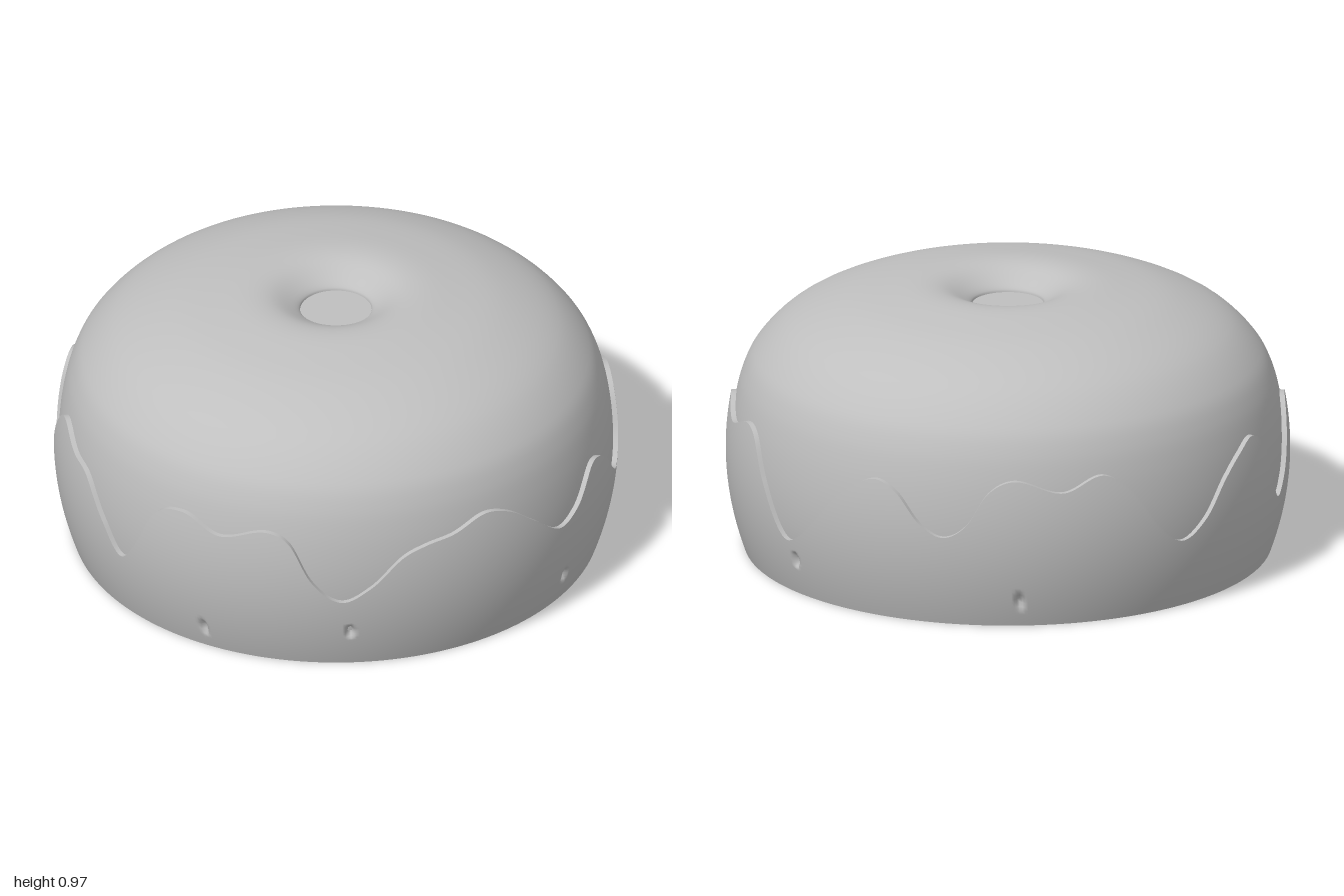
import * as THREE from 'three';

// Drip line round the body: [angle in degrees from +z towards +x, height]
const DRIP = [
  [-2, .525], [4, .45], [12, .355], [18, .385], [26, .495], [32, .46], [38, .35], [44, .30],
  [49, .37], [53, .5], [58, .555], [70, .505], [81, .555], [85, .52], [90, .39], [97, .215],
  [102, .24], [107, .32], [112, .42], [117, .49], [122, .525], [127, .485], [132, .385], [137, .34],
  [142, .39], [146, .5], [151, .55], [162, .505], [171, .555], [177, .485], [183, .34], [189, .265],
  [195, .32], [201, .44], [207, .515], [213, .55], [217, .49], [221, .33], [225, .26], [229, .32],
  [234, .47], [239, .555], [250, .505], [256, .48], [263, .36], [269, .26], [274, .36], [278, .5],
  [285, .555], [294, .505], [305, .55], [309.5, .51], [314, .37], [320, .288], [326, .34], [333, .455],
  [338, .49], [344, .51], [352, .555],
];
// Small oval dents low on the wall: [angle, height]
const DENTS = [[15.6, .115], [68, .075], [100, .14], [153, .1], [239, .1], [290, .09], [322, .155]];

const knots = [
  ...DRIP.slice(-3).map(([a, h]) => [a - 360, h]), ...DRIP,
  ...DRIP.slice(0, 4).map(([a, h]) => [a + 360, h]),
];
const dripCurve = new THREE.CubicInterpolant(
  knots.map(k => k[0]), knots.map(k => k[1]), 1, new Float32Array(1));
const dripHeight = deg => dripCurve.evaluate(deg)[0];

const wallRadius = y => 1 - 0.5 * (y - 0.36) ** 2;
const coatRadius = y => wallRadius(y) - 0.018;

function dentDepth(deg, y) {
  let depth = 0;
  for (const [a, h] of DENTS) {
    const dx = (deg - a) * Math.PI / 180 * 0.965 / 0.017;
    const d = dx * dx + ((y - h) / 0.033) ** 2;
    if (d < 1) depth = 0.025 * (1 - d);
  }
  return depth;
}

// Closed band around y; point(deg, t) returns [radius, height], t running 0..1
function band(segments, rows, point) {
  const pos = [], index = [];
  for (let j = 0; j <= rows; j++) {
    for (let i = 0; i < segments; i++) {
      const deg = i / segments * 360, a = deg * Math.PI / 180;
      const [r, y] = point(deg, j / rows);
      pos.push(r * Math.sin(a), y, r * Math.cos(a));
      if (j < rows) {
        const n = (i + 1) % segments, p = j * segments + i, q = j * segments + n;
        index.push(p, q, p + segments, q, q + segments, p + segments);
      }
    }
  }
  const g = new THREE.BufferGeometry();
  g.setAttribute('position', new THREE.Float32BufferAttribute(pos, 3));
  g.setIndex(index);
  g.computeVertexNormals();
  return g;
}

function smoothLathe(points, samples) {
  const curve = new THREE.CatmullRomCurve3(
    points.map(([r, y]) => new THREE.Vector3(r, y, 0)), false, 'centripetal');
  const profile = curve.getPoints(samples).map(p => new THREE.Vector2(Math.max(p.x, 0), p.y));
  return new THREE.LatheGeometry(profile, 160);
}

export function createModel() {
  const group = new THREE.Group();
  const grey = new THREE.MeshStandardMaterial({ color: 0xbfbfbf });
  grey.name = 'plain grey';
  const add = (name, geometry) => {
    const mesh = new THREE.Mesh(geometry, grey);
    mesh.name = name;
    group.add(mesh);
    return mesh;
  };

  // Outer wall, ending at the wavy drip line
  add('lowerWall', band(600, 36, (deg, t) => {
    const y = dripHeight(deg) * t;
    return [wallRadius(y) - dentDepth(deg, y), y];
  }));

  // Narrow step from the wall in to the dome
  add('dripLedge', band(600, 1, (deg, t) => {
    const y = dripHeight(deg);
    return [t ? coatRadius(y) - 0.004 : wallRadius(y), y];
  }));

  // Rounded dome with a sunken centre
  const skirt = [.15, .25, .35, .45, .55].map(y => [coatRadius(y), y]);
  add('dome', smoothLathe([
    ...skirt, [.94, .64], [.9, .72], [.79, .83], [.6, .917], [.42, .955], [.3, .967],
    [.23, .958], [.17, .93], [.13, .9], [.126, .885],
  ], 72));

  // Flat disc closing the hollow on top
  const disc = add('topDisc', new THREE.CircleGeometry(0.128, 48));
  disc.rotation.x = -Math.PI / 2;
  disc.position.y = 0.89;

  // Flat rim underneath and hollow interior
  add('bottomRim', new THREE.LatheGeometry(
    [new THREE.Vector2(.892, 0), new THREE.Vector2(wallRadius(0), 0)], 160));
  add('innerShell', smoothLathe([
    [0, .85], [.15, .855], [.38, .905], [.58, .87], [.75, .79], [.86, .68], [.92, .52],
    [.94, .36], [.928, .18], [.892, 0],
  ], 40));

  return group;
}
